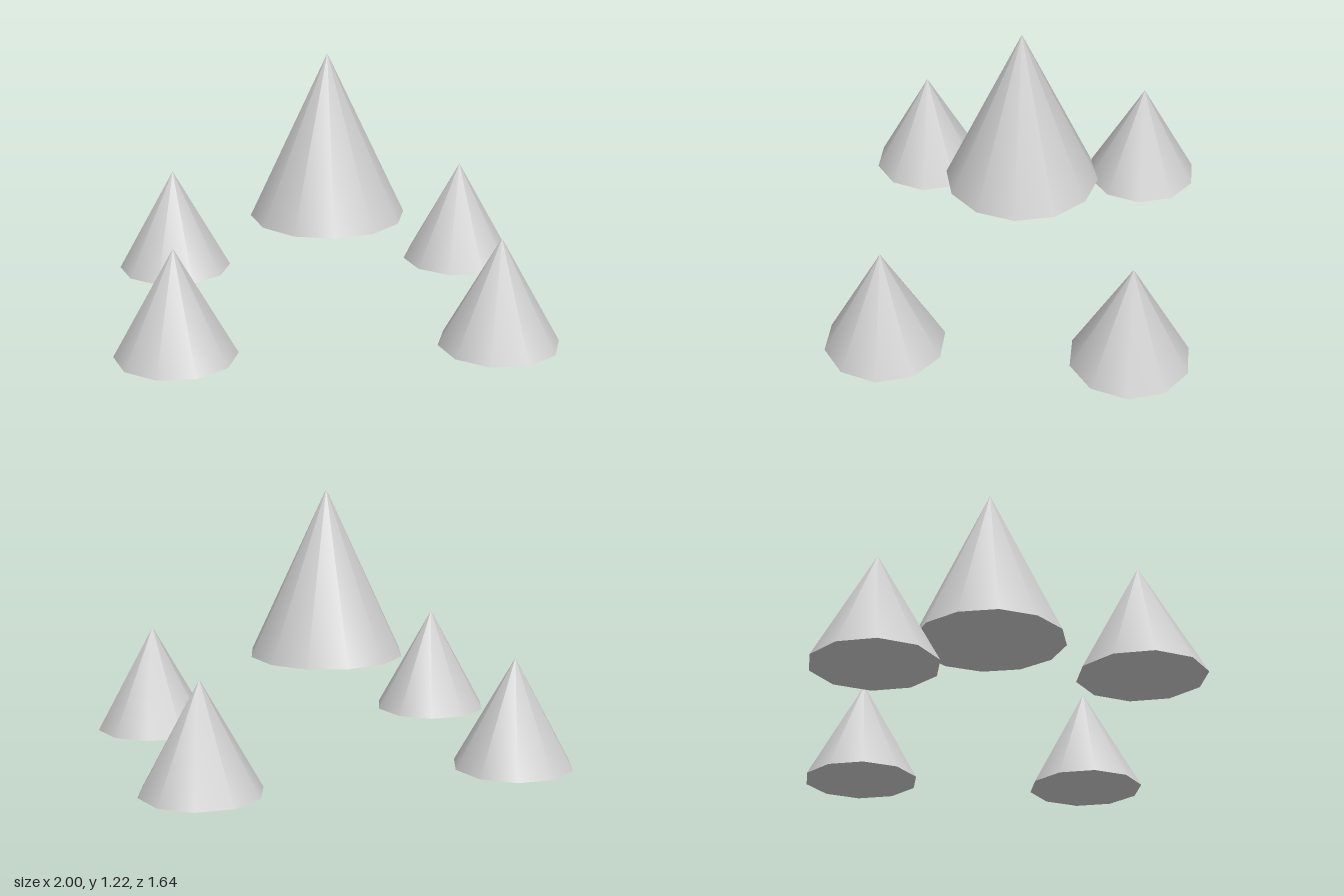
import * as THREE from 'three';

export function createModel() {
  const model = new THREE.Group();
  const lightGrey = new THREE.MeshStandardMaterial({ color: 0xcccccc });

  // Closed cone standing on baseY, with corners on the x axis
  function addCone(name, radius, height, sides, x, baseY, z) {
    const geometry = new THREE.ConeGeometry(radius, height, sides);
    geometry.rotateY(Math.PI / 2);
    const cone = new THREE.Mesh(geometry, lightGrey);
    cone.name = name;
    cone.position.set(x, baseY + height / 2, z);
    model.add(cone);
  }

  // Large raised cone in the middle
  addCone('centreCone', 0.36, 0.77, 12, 0, 0.45, 0);

  // Four small cones at the corners
  for (const [side, sx] of [['Left', 1], ['Right', -1]]) {
    for (const [end, sz] of [['front', 1], ['back', -1]]) {
      addCone(`${end}${side}Cone`, 0.277, 0.5, 10, sx * 0.723, 0, sz * 0.555);
    }
  }

  return model;
}
